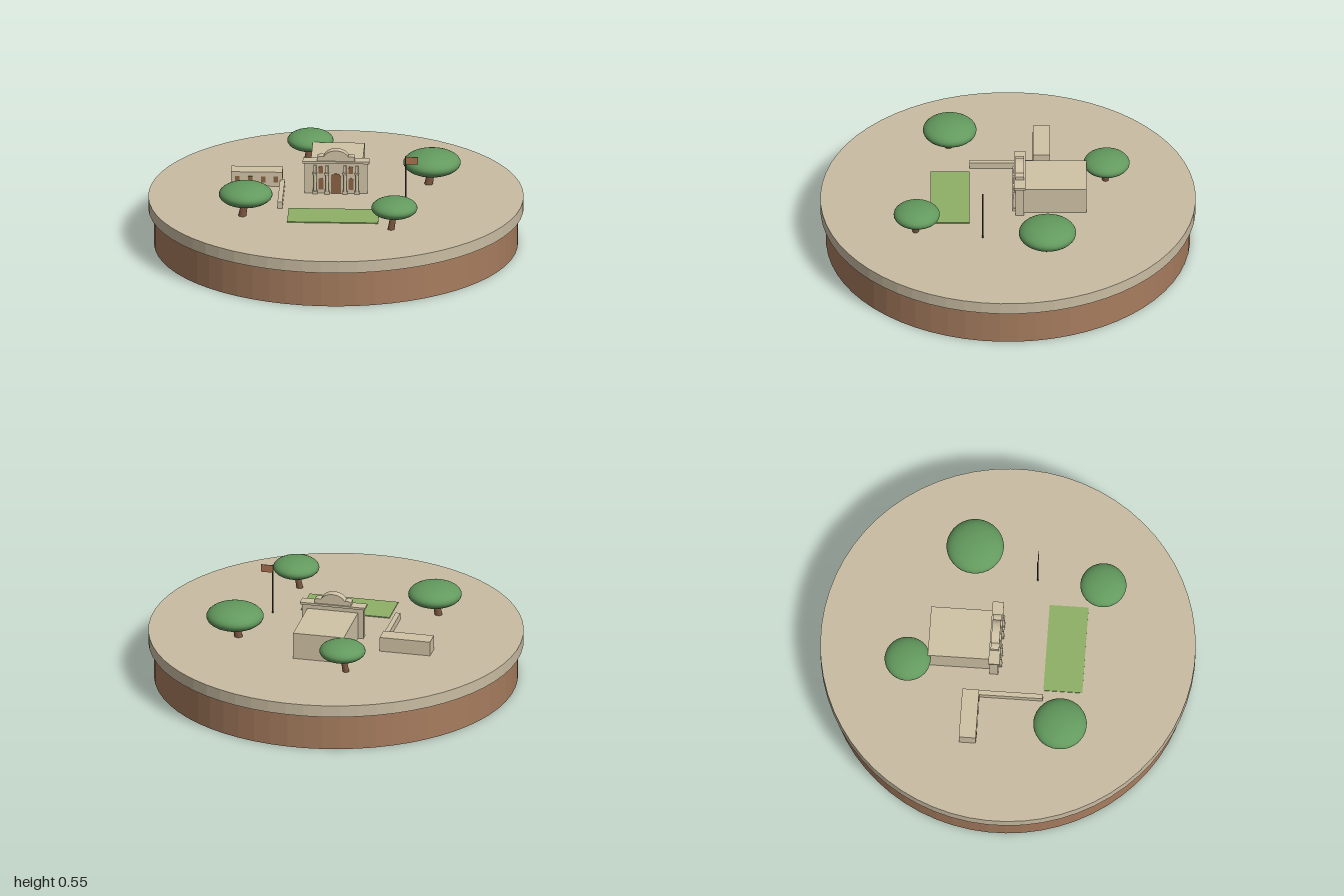
import * as THREE from 'three';

const mat = (name, color, opts = {}) => {
  const m = new THREE.MeshStandardMaterial({ color, ...opts });
  m.name = name;
  return m;
};

export function createModel() {
  const model = new THREE.Group();
  model.name = 'missionDiorama';

  const earth = mat('earth', 0xa67c5e, { flatShading: true });
  const ground = mat('ground', 0xc9bca2, { flatShading: true });
  const stone = mat('stone', 0xcfc2a5);
  const wood = mat('wood', 0x8c6243);
  const bark = mat('bark', 0x7d5740);
  const leaf = mat('leaf', 0x639a5e);
  const grass = mat('grass', 0x8db067);
  const iron = mat('iron', 0x4a3c34);
  const cloth = mat('cloth', 0xa8714f, { side: THREE.DoubleSide });

  const add = (parent, name, geo, material, x = 0, y = 0, z = 0) => {
    const mesh = new THREE.Mesh(geo, material);
    mesh.name = name;
    mesh.position.set(x, y, z);
    parent.add(mesh);
    return mesh;
  };
  // box placed by its bottom height
  const box = (parent, name, material, w, h, d, x, y, z) =>
    add(parent, name, new THREE.BoxGeometry(w, h, d), material, x, y + h / 2, z);
  // flat-bottomed plate with a round-arched top
  const arch = (w, h, d) => {
    const s = new THREE.Shape();
    s.moveTo(-w / 2, 0);
    s.lineTo(w / 2, 0);
    s.lineTo(w / 2, h - w / 2);
    s.absarc(0, h - w / 2, w / 2, 0, Math.PI, false);
    s.closePath();
    return new THREE.ExtrudeGeometry(s, { depth: d, bevelEnabled: false, curveSegments: 10 });
  };

  // round base
  add(model, 'earthBase', new THREE.CylinderGeometry(0.97, 0.97, 0.2, 64), earth, 0, 0.1, 0);
  add(model, 'groundDisc', new THREE.CylinderGeometry(1, 1, 0.065, 64), ground, 0, 0.2325, 0);

  // everything built sits on a turned site, measured from ground level
  const site = new THREE.Group();
  site.name = 'site';
  site.position.set(0.02, 0.265, -0.06);
  site.rotation.y = -0.35;
  model.add(site);

  // church: hall, front wall and cornice
  box(site, 'hall', stone, 0.277, 0.147, 0.34, 0, 0, -0.186);
  box(site, 'facade', stone, 0.335, 0.172, 0.045, 0, 0, 0);
  box(site, 'cornice', stone, 0.355, 0.012, 0.06, 0, 0.17, 0);

  // curved gable over the centre
  const g = new THREE.Shape();
  g.moveTo(-0.1, 0);
  g.lineTo(0.1, 0);
  g.lineTo(0.1, 0.02);
  g.quadraticCurveTo(0.082, 0.031, 0.066, 0.024);
  g.quadraticCurveTo(0.045, 0.058, 0, 0.058);
  g.quadraticCurveTo(-0.045, 0.058, -0.066, 0.024);
  g.quadraticCurveTo(-0.082, 0.031, -0.1, 0.02);
  g.closePath();
  add(site, 'gable', new THREE.ExtrudeGeometry(g, { depth: 0.045, bevelEnabled: false, curveSegments: 8 }),
    stone, 0, 0.182, -0.0225);

  // doorway
  add(site, 'door', arch(0.055, 0.112, 0.006), wood, 0, 0, 0.02);

  // columns, niches and upper windows, mirrored about the door
  for (const side of [-1, 1]) {
    for (const cx of [0.048, 0.112]) {
      box(site, 'columnBase', stone, 0.026, 0.016, 0.02, side * cx, 0, 0.03);
      add(site, 'column', new THREE.CylinderGeometry(0.008, 0.009, 0.095, 12), stone, side * cx, 0.0625, 0.03);
      box(site, 'capital', stone, 0.024, 0.01, 0.02, side * cx, 0.108, 0.03);
      box(site, 'upperPilaster', stone, 0.014, 0.04, 0.01, side * cx, 0.118, 0.026);
    }
    add(site, 'niche', arch(0.026, 0.065, 0.005), wood, side * 0.08, 0.022, 0.02);
    add(site, 'upperWindow', arch(0.024, 0.042, 0.005), wood, side * 0.08, 0.112, 0.02);
  }

  // long low barracks with a row of windows
  box(site, 'barracks', stone, 0.275, 0.08, 0.09, -0.427, 0, -0.115);
  for (let i = 0; i < 4; i++)
    box(site, 'barracksWindow', wood, 0.024, 0.034, 0.006, -0.427 + (i - 1.5) * 0.069, 0.022, -0.07);

  // courtyard wall and lawn
  box(site, 'courtyardWall', stone, 0.026, 0.037, 0.344, -0.289, 0, 0.097);
  box(site, 'lawn', grass, 0.485, 0.005, 0.208, 0, 0, 0.373);

  // flag
  add(site, 'flagpole', new THREE.CylinderGeometry(0.004, 0.004, 0.28, 8), iron, 0.378, 0.14, 0.197);
  box(site, 'flag', cloth, 0.064, 0.042, 0.004, 0.412, 0.235, 0.197);

  // trees: x, z, crown radius, crown half height
  const trees = [
    [0.032, -0.547, 0.123, 0.053], [0.545, -0.025, 0.153, 0.065],
    [-0.547, 0.131, 0.143, 0.061], [0.144, 0.57, 0.123, 0.053],
  ];
  for (const [x, z, r, h] of trees) {
    const tree = new THREE.Group();
    tree.name = 'tree';
    tree.position.set(x, 0.265, z);
    model.add(tree);
    const size = r / 0.143;
    const trunk = add(tree, 'trunk',
      new THREE.CylinderGeometry(0.018 * size, 0.021 * size, 0.11, 10), bark, -0.01, 0.048, 0);
    trunk.rotation.z = -0.18;
    const crown = add(tree, 'crown', new THREE.SphereGeometry(1, 32, 20), leaf, 0, 0.12, 0);
    crown.scale.set(r, h, r);
  }
  return model;
}
